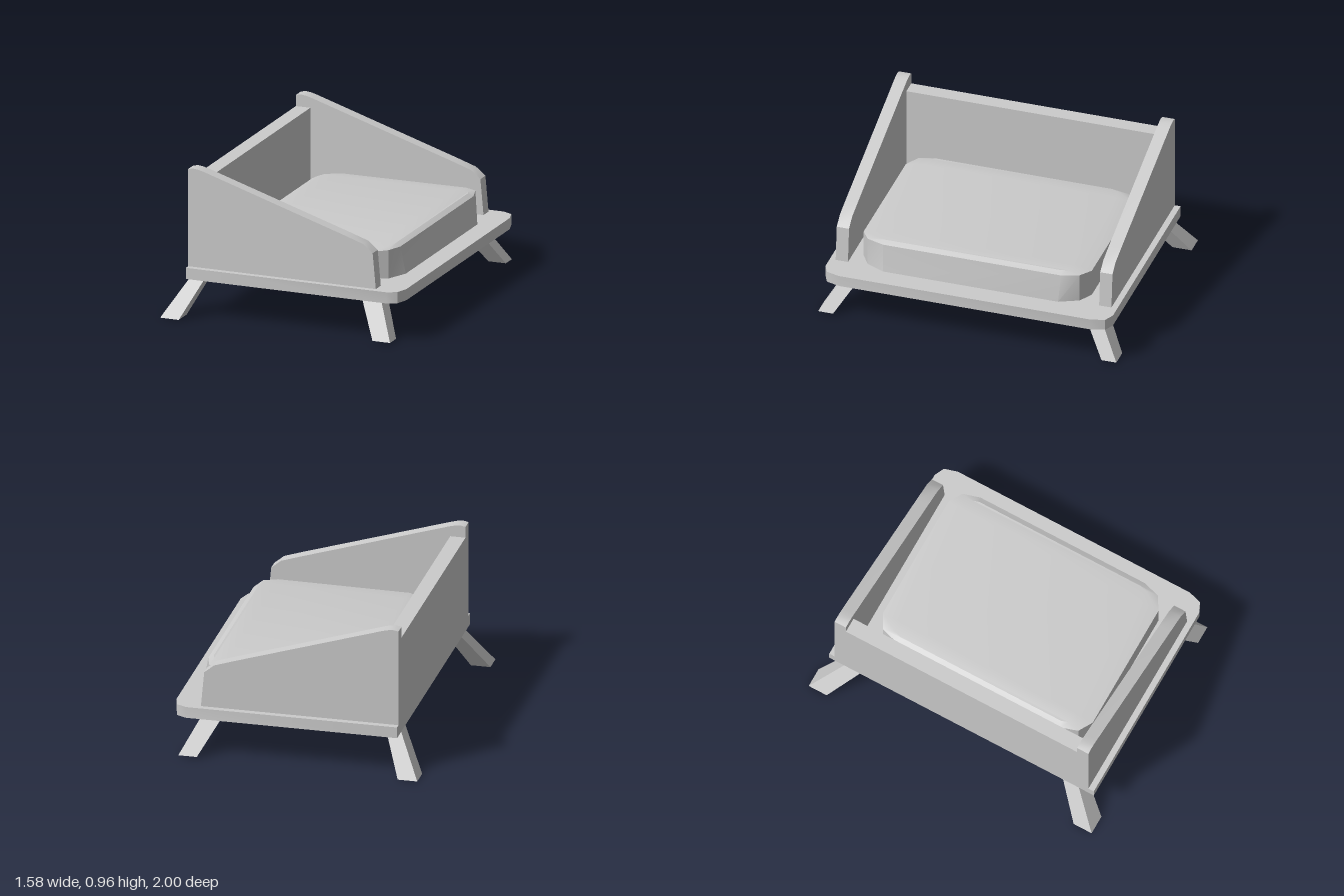
import * as THREE from 'three';
import { toCreasedNormals } from 'three/addons/utils/BufferGeometryUtils.js';

export function createModel() {
  const model = new THREE.Group();
  const material = new THREE.MeshStandardMaterial({ color: 0xcccccc });

  const add = (name, geometry) => {
    const mesh = new THREE.Mesh(geometry, material);
    mesh.name = name;
    model.add(mesh);
    return mesh;
  };
  const extrude = (points, depth) => {
    const shape = new THREE.Shape(points.map(([x, y]) => new THREE.Vector2(x, y)));
    return new THREE.ExtrudeGeometry(shape, { depth, bevelEnabled: false });
  };

  // Base plate with its two front corners rounded off
  const corner = [[0.70, 0.935], [0.763, 0.905], [0.788, 0.82]];
  const plate = extrude([
    [-0.645, -0.935],
    ...corner.map(([x, z]) => [x, -z]),
    ...corner.slice().reverse(),
    [-0.645, 0.935],
  ], 0.072);
  plate.rotateX(-Math.PI / 2).translate(0, 0.249, 0);
  add('basePlate', toCreasedNormals(plate, 0.7));

  // Sloping side panels
  const profile = [
    [-0.645, 0.321], [0.614, 0.321], [0.593, 0.55], [0.53, 0.602], [0.40, 0.645],
    [-0.54, 0.942], [-0.575, 0.951], [-0.61, 0.956], [-0.645, 0.949],
  ];
  for (const [name, z] of [['frontSidePanel', 0.817], ['rearSidePanel', -0.897]]) {
    add(name, toCreasedNormals(extrude(profile, 0.08), 0.5)).position.z = z;
  }

  // Backrest between the side panels
  add('backrest', new THREE.BoxGeometry(0.097, 0.556, 1.634)).position.set(-0.5965, 0.599, 0);

  // Seat cushion: mirrored half outlines [x, y, z], front to back, from the bottom up
  const halves = [
    [[0.612, 0.325, 0.57], [0.60, 0.325, 0.66], [0.52, 0.325, 0.70],
      [-0.31, 0.325, 0.70], [-0.37, 0.325, 0.66], [-0.40, 0.325, 0.57]],
    [[0.677, 0.337, 0.57], [0.613, 0.332, 0.69], [0.53, 0.335, 0.742],
      [-0.31, 0.335, 0.742], [-0.40, 0.335, 0.69], [-0.435, 0.335, 0.58]],
    [[0.646, 0.512, 0.58], [0.613, 0.515, 0.69], [0.53, 0.509, 0.742],
      [-0.31, 0.503, 0.742], [-0.40, 0.502, 0.69], [-0.435, 0.502, 0.58]],
    [[0.612, 0.529, 0.57], [0.60, 0.528, 0.61], [0.52, 0.528, 0.62],
      [-0.31, 0.522, 0.62], [-0.385, 0.521, 0.61], [-0.40, 0.521, 0.57]],
  ];
  const rings = halves.map((half) => [...half, ...half.slice().reverse().map(([x, y, z]) => [x, y, -z])]);
  const n = rings[0].length;
  const index = [];
  for (let r = 0; r < rings.length - 1; r++) {
    for (let i = 0; i < n; i++) {
      const a = r * n + i, b = r * n + (i + 1) % n;
      index.push(a, a + n, b, b, a + n, b + n);
    }
  }
  // Close the underside and the top with strips between mirrored points
  const last = (rings.length - 1) * n;
  for (let i = 0; i < n / 2 - 1; i++) {
    const a = i, b = i + 1, c = n - 2 - i, d = n - 1 - i;
    index.push(a, b, c, a, c, d);
    index.push(last + a, last + c, last + b, last + a, last + d, last + c);
  }
  const cushion = new THREE.BufferGeometry();
  cushion.setAttribute('position', new THREE.Float32BufferAttribute(rings.flat(2), 3));
  cushion.setIndex(index);
  add('cushion', toCreasedNormals(cushion, 0.47));

  // Splayed legs: boxes whose ends are moved to the given rectangles [x0, x1, z0, z1]
  const leg = (name, side, y0, foot, head) => {
    const geometry = new THREE.BoxGeometry(2, 2, 2);
    const p = geometry.attributes.position;
    for (let i = 0; i < p.count; i++) {
      const upper = p.getY(i) > 0;
      const [x0, x1, z0, z1] = upper ? head : foot;
      const outer = p.getZ(i) * side > 0;
      p.setXYZ(i, p.getX(i) > 0 ? x1 : x0, upper ? 0.25 : y0, side * (outer ? z1 : z0));
    }
    geometry.computeVertexNormals();
    add(name, geometry);
  };
  for (const side of [1, -1]) {
    const suffix = side > 0 ? 'Near' : 'Far';
    leg('backLeg' + suffix, side, 0, [-0.79, -0.665, 0.873, 1.0], [-0.645, -0.55, 0.718, 0.83]);
    leg('frontLeg' + suffix, side, 0.008, [0.622, 0.74, 0.873, 0.97], [0.484, 0.614, 0.718, 0.822]);
  }

  return model;
}
